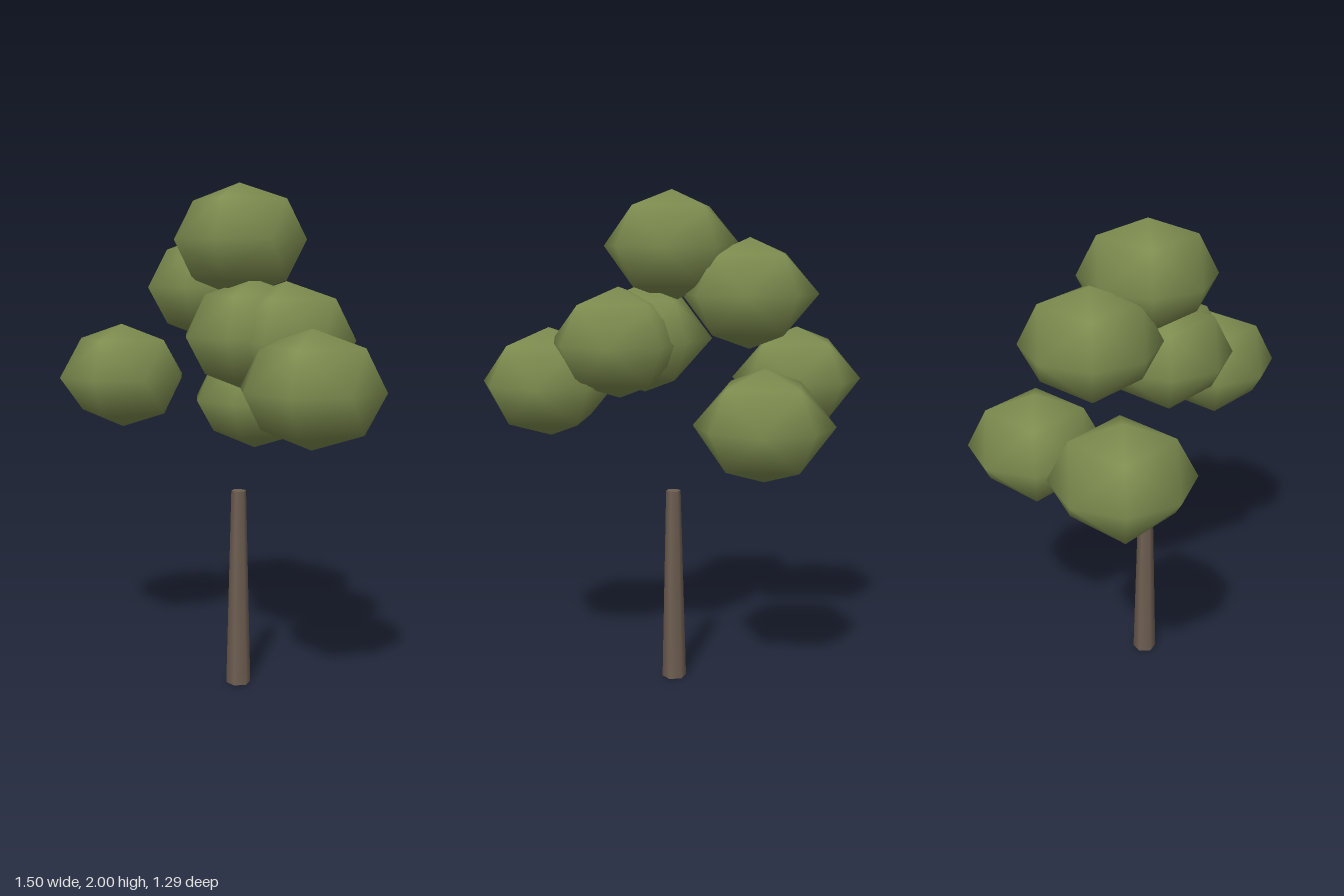
import * as THREE from 'three';

export function createModel() {
  const tree = new THREE.Group();
  tree.name = 'tree';

  const leafGreen = new THREE.MeshStandardMaterial({ color: 0x7d8c4f });
  leafGreen.name = 'leaf green';
  const barkBrown = new THREE.MeshStandardMaterial({ color: 0x6f5f52 });
  barkBrown.name = 'bark brown';

  // Tapered six-sided trunk
  const trunk = new THREE.Mesh(new THREE.CylinderGeometry(0.03, 0.05, 0.8, 6), barkBrown);
  trunk.name = 'trunk';
  trunk.position.set(0.09, 0.4, 0.07);
  tree.add(trunk);

  // Foliage: one squashed low-poly ball, repeated at each clump centre
  const clump = new THREE.OctahedronGeometry(0.271, 1).scale(1, 0.8, 1);
  const centres = [
    [0.09, 1.783, 0.07],
    [-0.12, 1.6, -0.153],
    [-0.478, 1.23, -0.054],
    [0.002, 1.117, -0.375],
    [0.475, 1.25, 0.374],
    [0.17, 1.423, 0.15],
    [0.303, 1.412, 0.137],
  ];
  const foliage = new THREE.Group();
  foliage.name = 'foliage';
  centres.forEach((centre, i) => {
    const mesh = new THREE.Mesh(clump, leafGreen);
    mesh.name = `leafClump${i + 1}`;
    mesh.position.set(...centre);
    foliage.add(mesh);
  });
  tree.add(foliage);

  return tree;
}
